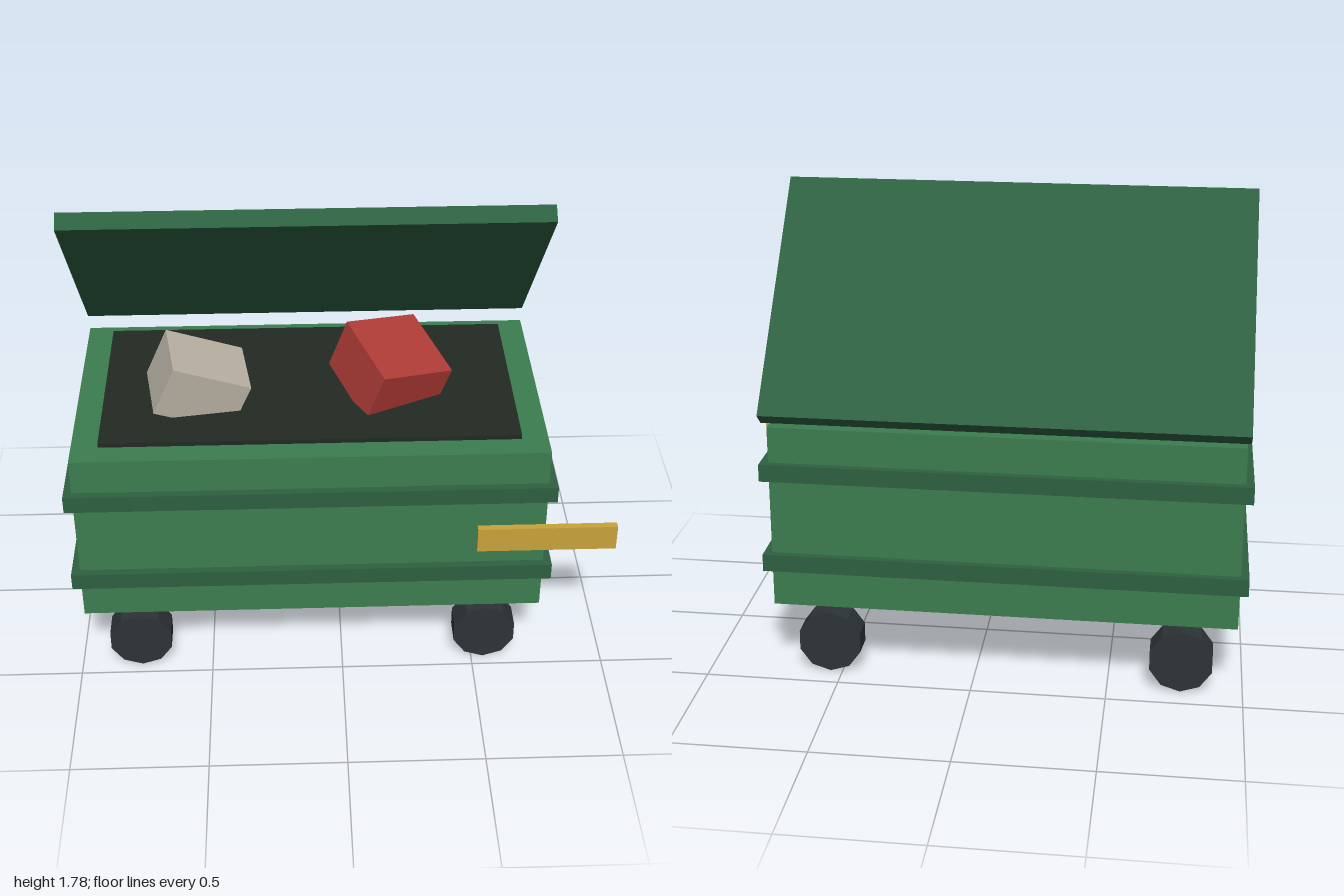
import * as THREE from 'three';

const mat = (name, color) => {
  const m = new THREE.MeshStandardMaterial({ color, flatShading: true });
  m.name = name;
  return m;
};

export function createModel() {
  const group = new THREE.Group();
  const green = mat('green', 0x3d7d4f);
  const darkGreen = mat('dark green', 0x2d6040);
  const black = mat('near black', 0x212a23);
  const rubber = mat('wheel grey', 0x2d3436);
  const gold = mat('gold', 0xc8a23a);
  const red = mat('red', 0xb03c37);
  const cream = mat('pale grey', 0xbab3a5);

  const add = (name, geometry, material) => {
    const mesh = new THREE.Mesh(geometry, material);
    mesh.name = name;
    group.add(mesh);
    return mesh;
  };
  // Box given by its lower and upper limits on each axis
  const block = (name, material, [x0, x1], [y0, y1], [z0, z1]) => {
    const mesh = add(name, new THREE.BoxGeometry(x1 - x0, y1 - y0, z1 - z0), material);
    mesh.position.set((x0 + x1) / 2, (y0 + y1) / 2, (z0 + z1) / 2);
    return mesh;
  };

  // Bin body, base plate and opening
  block('body', green, [-0.97, 0.745], [0.28, 0.98], [-0.435, 0.475]);
  block('basePlate', darkGreen, [-0.87, 0.645], [0.257, 0.3], [-0.385, 0.425]);
  block('opening', black, [-0.87, 0.645], [0.993, 1.01], [-0.36, 0.405]);

  // Reinforcing bands
  for (const y of [0.425, 0.78]) {
    block('band', darkGreen, [-1, 0.775], [y, y + 0.065], [-0.463, 0.505]);
  }

  // Handle bar on the front
  block('handle', gold, [0.49, 1], [0.58, 0.68], [0.502, 0.528]);

  // Open lid, tilted back
  const lid = add('lid', new THREE.BoxGeometry(1.735, 0.065, 0.966), darkGreen);
  lid.position.set(-0.1125, 1.396, -0.18);
  lid.rotation.x = -0.85;

  // Ten-sided wheels
  const wheelGeometry = new THREE.CylinderGeometry(0.121, 0.121, 0.1, 10).rotateX(Math.PI / 2);
  for (const x of [-0.77, 0.545]) {
    for (const z of [-0.36, 0.405]) {
      add('wheel', wheelGeometry, rubber).position.set(x, 0.121, z);
    }
  }

  // Tumbled boxes: top back-left corner, then the width and depth edges
  const tumbled = (name, material, corner, width, depth, height) => {
    const u = new THREE.Vector3(...width);
    const v = new THREE.Vector3(...depth);
    const up = new THREE.Vector3().crossVectors(v, u).normalize();
    const mesh = add(name, new THREE.BoxGeometry(u.length(), height, v.length()), material);
    mesh.position.set(...corner).addScaledVector(u, 0.5).addScaledVector(v, 0.5).addScaledVector(up, -height / 2);
    const xAxis = u.normalize();
    const zAxis = new THREE.Vector3().crossVectors(xAxis, up);
    mesh.quaternion.setFromRotationMatrix(new THREE.Matrix4().makeBasis(xAxis, up, zAxis));
  };
  tumbled('redBox', red, [0.03, 1.27, 0.03], [0.256, -0.058, -0.141], [0.128, -0.086, 0.26], 0.216);
  tumbled('paleBox', cream, [-0.63, 1.249, 0.03], [0.274, -0.117, -0.053], [0.032, -0.022, 0.24], 0.205);

  return group;
}
